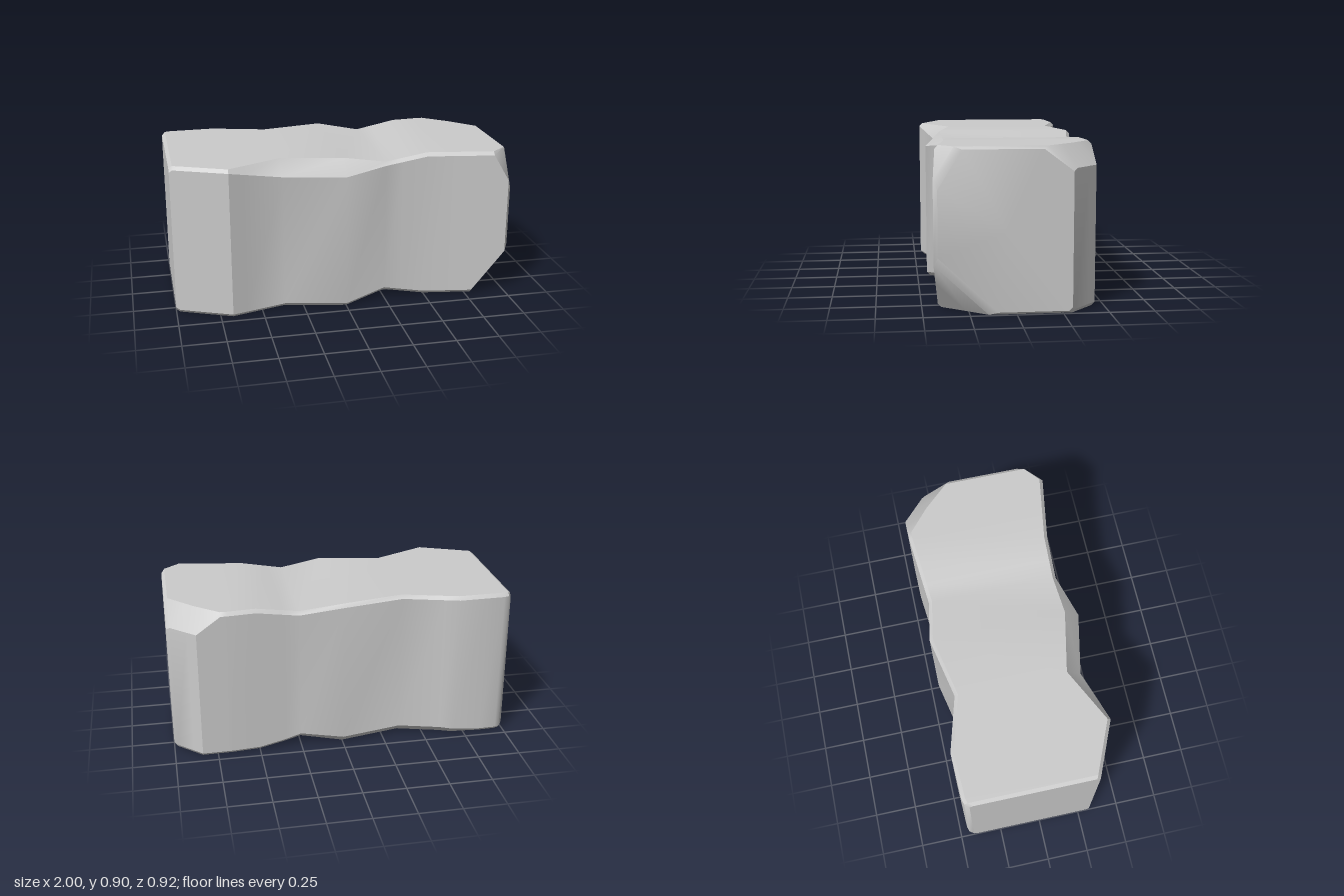
import * as THREE from 'three';
import { toCreasedNormals } from 'three/addons/utils/BufferGeometryUtils.js';

// Piecewise-linear curve through [x, value] points
function along(points) {
  return (x) => {
    if (x <= points[0][0]) return points[0][1];
    for (let i = 1; i < points.length; i++) {
      const [x0, v0] = points[i - 1];
      const [x1, v1] = points[i];
      if (x <= x1) return v0 + ((v1 - v0) * (x - x0)) / (x1 - x0);
    }
    return points[points.length - 1][1];
  };
}

const BEVEL = 0.02;

// Wavy outlines of the block
const top = along([[0, 0.9], [0.25, 0.857], [0.5, 0.9]]);
const bottom = along([[0, 0], [0.25, 0.045], [0.5, 0]]);
const front = along([[-1, 0.32], [-0.68, 0.458], [-0.36, 0.367], [0, 0.442],
  [0.25, 0.362], [0.5, 0.367], [0.98, 0.442], [1, 0.435]]);
const back = along([[-1, -0.42], [-0.98, -0.445], [-0.95, -0.455], [-0.68, -0.463], [-0.36, -0.375],
  [0, -0.45], [0.25, -0.41], [0.66, -0.448], [0.84, -0.45], [1, -0.3]]);

// Width (z) and height (y) of the chipped corner along each long edge
const chips = {
  frontTop: [
    along([[-0.68, BEVEL], [-0.36, 0.087], [0, 0.087], [0.25, BEVEL], [0.89, BEVEL], [1, 0.13]]),
    along([[-0.68, BEVEL], [-0.36, 0.09], [0, 0.09], [0.25, BEVEL], [0.89, BEVEL], [1, 0.21]]),
  ],
  backTop: [
    along([[0.7, BEVEL], [0.84, 0.14], [1, 0.16]]),
    along([[0.7, BEVEL], [0.84, 0.12], [1, 0.12]]),
  ],
  backBottom: [
    along([[-0.85, BEVEL], [-0.6, 0.045], [0, 0.045], [0.35, BEVEL]]),
    along([[-0.85, BEVEL], [-0.6, 0.045], [0, 0.045], [0.35, BEVEL]]),
  ],
  frontBottom: [
    along([[0.79, BEVEL], [1, 0.32]]),
    along([[0.79, BEVEL], [1, 0.3]]),
  ],
};

// Eight-sided cross-section, from the lower front round over the top
function section(x) {
  const inset = Math.abs(x) > 0.99 ? 0.015 : 0;
  const t = top(x) - inset, b = bottom(x) + inset;
  const f = front(x) - (x > 0 ? inset : 0), k = back(x);
  const [ft, bt, bb, fb] = ['frontTop', 'backTop', 'backBottom', 'frontBottom']
    .map((name) => chips[name].map((c) => c(x)));
  return [
    [b + fb[1], f], [t - ft[1], f],
    [t, f - ft[0]], [t, k + bt[0]],
    [t - bt[1], k], [b + bb[1], k],
    [b, k + bb[0]], [b, f - fb[0]],
  ].map(([y, z]) => [x, y, z]);
}

function stoneGeometry() {
  const stations = [-1, -0.98, -0.95, -0.85, -0.68, -0.6, -0.36, 0, 0.25, 0.35,
    0.5, 0.66, 0.7, 0.79, 0.84, 0.89, 0.98, 1];
  const rings = stations.map(section);
  const n = 8, last = rings.length - 1;
  const positions = rings.flat(2);
  const index = [];
  for (let i = 0; i < last; i++) {
    for (let j = 0; j < n; j++) {
      const k = (j + 1) % n;
      const a = i * n + j, b = a + n, c = (i + 1) * n + k, d = i * n + k;
      index.push(a, b, c, a, c, d);
    }
  }
  // End faces
  const left = positions.length / 3;
  positions.push(-1, 0.45, -0.04, 1, 0.45, 0.05);
  for (let j = 0; j < n; j++) {
    const k = (j + 1) % n;
    index.push(left, j, k, left + 1, last * n + k, last * n + j);
  }
  const geometry = new THREE.BufferGeometry();
  geometry.setAttribute('position', new THREE.Float32BufferAttribute(positions, 3));
  geometry.setIndex(index);
  return toCreasedNormals(geometry, 0.6);
}

export function createModel() {
  const group = new THREE.Group();
  group.name = 'stoneBlock';
  const stone = new THREE.Mesh(stoneGeometry(), new THREE.MeshStandardMaterial({ color: 0xcccccc }));
  stone.name = 'chippedStone';
  group.add(stone);
  return group;
}
